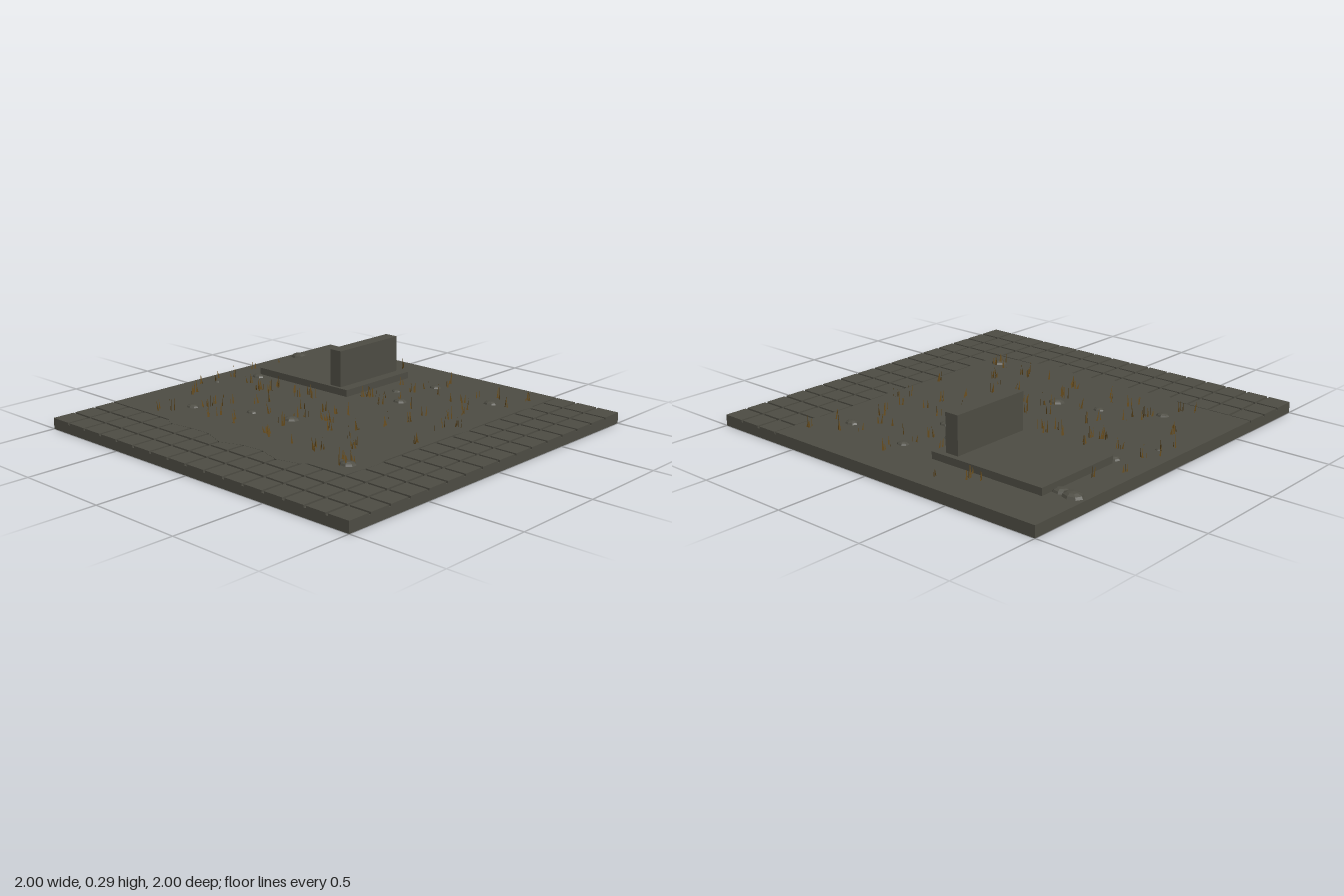
import * as THREE from 'three';

const stone = new THREE.MeshStandardMaterial({ color: 0x4e4d44 });
stone.name = 'greyStone';
stone.flatShading = true;
const straw = new THREE.MeshStandardMaterial({ color: 0x6b4f1e, side: THREE.DoubleSide });
straw.name = 'dryGrass';

const GROUND = 0.058;

// Small seeded random generator
function seeded(seed) {
  return () => {
    seed = (seed * 1664525 + 1013904223) % 4294967296;
    return seed / 4294967296;
  };
}

function addBox(parent, name, x0, x1, y0, y1, z0, z1) {
  const mesh = new THREE.Mesh(new THREE.BoxGeometry(x1 - x0, y1 - y0, z1 - z0), stone);
  mesh.position.set((x0 + x1) / 2, (y0 + y1) / 2, (z0 + z1) / 2);
  mesh.name = name;
  parent.add(mesh);
}

// Paving: three rows of tiles along the front and the +x side
function makePaving() {
  const group = new THREE.Group();
  group.name = 'paving';
  const pitch = 0.125, gap = 0.007;
  for (let i = 0; i < 16; i++) {
    for (let j = 0; j < 16; j++) {
      if (i < 13 && j < 13) continue;
      const x = -1 + i * pitch, z = -1 + j * pitch;
      addBox(group, 'pavingTile',
        i === 0 ? x : x + gap, i === 15 ? 1 : x + pitch - gap, 0.046, 0.057,
        j === 0 ? z : z + gap, j === 15 ? 1 : z + pitch - gap);
    }
  }
  return group;
}

// Soil with a ragged edge that creeps over the first joints
function makeSoil() {
  const outline = [
    [-1, -1], [0.624, -1], [0.624, -0.8], [0.637, -0.76], [0.624, -0.7], [0.624, -0.3],
    [0.637, -0.24], [0.624, -0.15], [0.624, 0.35], [0.64, 0.42], [0.624, 0.62],
    [0.4, 0.624], [0.37, 0.65], [0.25, 0.68], [0.12, 0.64], [0, 0.645], [-0.12, 0.69],
    [-0.25, 0.64], [-0.37, 0.64], [-0.5, 0.66], [-0.57, 0.624], [-1, 0.624],
  ];
  const shape = new THREE.Shape(outline.map(([x, z]) => new THREE.Vector2(x, -z)));
  const geo = new THREE.ExtrudeGeometry(shape, { depth: GROUND - 0.046, bevelEnabled: false });
  geo.rotateX(-Math.PI / 2);
  geo.translate(0, 0.046, 0);
  const soil = new THREE.Mesh(geo, stone);
  soil.name = 'soil';
  return soil;
}

// Half-buried flattened stones: x, z, radius
function makeRocks() {
  const group = new THREE.Group();
  group.name = 'rocks';
  const spots = [
    [-0.93, -0.67, 0.055], [-0.86, -0.66, 0.045], [0.05, -0.71, 0.031], [0.44, -0.675, 0.037],
    [-0.06, -0.515, 0.025], [0.08, -0.385, 0.037], [-0.8, -0.215, 0.037], [-0.89, 0.01, 0.015],
    [-0.115, 0.215, 0.042], [-0.345, 0.265, 0.03], [-0.635, 0.405, 0.034], [0.54, 0.51, 0.042],
  ];
  const geo = new THREE.SphereGeometry(1, 8, 6);
  spots.forEach(([x, z, r], i) => {
    const rock = new THREE.Mesh(geo, stone);
    rock.scale.set(r, r * 0.45, r * 0.8);
    rock.position.set(x, GROUND, z);
    rock.rotation.y = (i % 3) * 0.2;
    rock.name = 'rock';
    group.add(rock);
  });
  return group;
}

// Clumps of thin upright blades, each a tapering triangle leaning in its own plane
function makeGrass() {
  const rand = seeded(17);
  const points = [];
  for (let c = 0; c < 125; c++) {
    const cx = -0.97 + rand() * 1.56, cz = -0.93 + rand() * 1.49;
    const onSlab = cx > -0.85 && cx < -0.16 && cz > -0.77 && cz < -0.24;
    if (onSlab || (cz < -0.4 && rand() < 0.4)) continue;
    const blades = 2 + Math.floor(rand() * 3);
    for (let b = 0; b < blades; b++) {
      const x = cx + (rand() - 0.5) * 0.03, z = cz + (rand() - 0.5) * 0.03;
      const angle = rand() * Math.PI, dx = Math.cos(angle), dz = Math.sin(angle);
      const w = 0.004 + rand() * 0.002, h = 0.03 + rand() * 0.042;
      const lean = (rand() - 0.3) * 0.02;
      points.push(
        x - dx * w, GROUND - 0.004, z - dz * w,
        x + dx * w, GROUND - 0.004, z + dz * w,
        x + dx * lean, GROUND + h, z + dz * lean);
    }
  }
  const geo = new THREE.BufferGeometry();
  geo.setAttribute('position', new THREE.Float32BufferAttribute(points, 3));
  geo.computeVertexNormals();
  const grass = new THREE.Mesh(geo, straw);
  grass.name = 'grass';
  return grass;
}

export function createModel() {
  const model = new THREE.Group();
  model.name = 'gravePlot';
  addBox(model, 'base', -1, 1, 0, 0.046, -1, 1);
  model.add(makePaving(), makeSoil());
  addBox(model, 'graveSlab', -0.83, -0.18, 0.05, 0.095, -0.755, -0.26);
  addBox(model, 'headstone', -0.315, -0.24, 0.09, 0.29, -0.725, -0.278);
  model.add(makeRocks(), makeGrass());
  return model;
}
